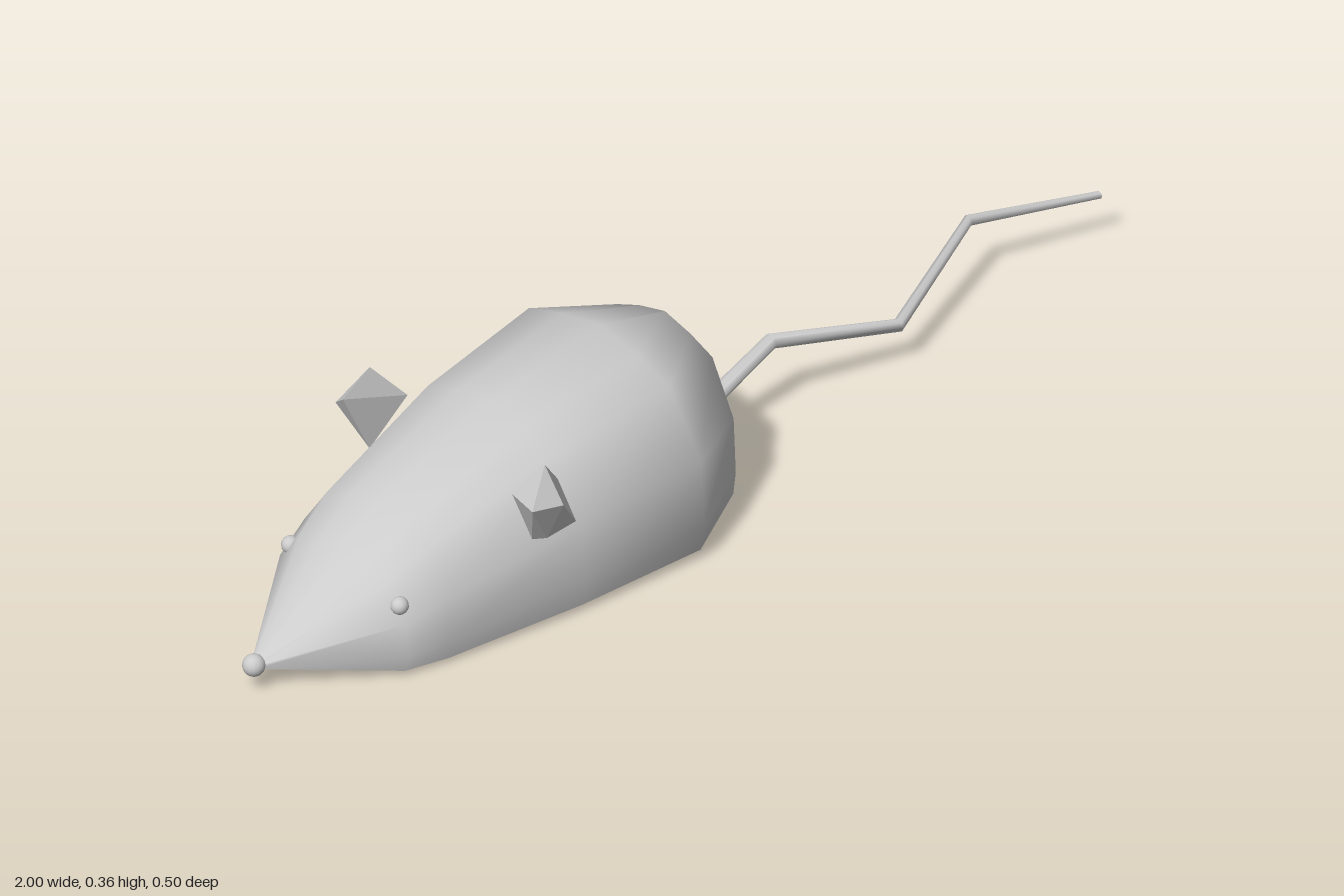
import * as THREE from 'three';
import { toCreasedNormals } from 'three/addons/utils/BufferGeometryUtils.js';
import { ConvexGeometry } from 'three/addons/geometries/ConvexGeometry.js';

const material = new THREE.MeshStandardMaterial({ color: 0xcccccc });

function addMesh(group, name, geometry) {
  const mesh = new THREE.Mesh(geometry, material);
  mesh.name = name;
  group.add(mesh);
  return mesh;
}

// Skin closed rings of [x, y, z] points (running top, +z, bottom, -z) set along x, with end caps.
function loft(rings, crease) {
  const n = rings[0].length;
  const last = rings.length - 1;
  const positions = rings.flat(2);
  const index = [];
  for (let i = 0; i < last; i++) {
    for (let j = 0; j < n; j++) {
      const k = (j + 1) % n;
      const a = i * n + j, b = i * n + k, c = a + n, d = b + n;
      index.push(a, b, c, b, d, c);
    }
  }
  for (let j = 1; j < n - 1; j++) {
    index.push(0, j + 1, j);
    index.push(last * n, last * n + j, last * n + j + 1);
  }
  const geometry = new THREE.BufferGeometry();
  geometry.setAttribute('position', new THREE.Float32BufferAttribute(positions, 3));
  geometry.setIndex(index);
  return toCreasedNormals(geometry, crease);
}

// Half cross-section of the body: fraction of half width, fraction of height
const halfSection = [[0, 1], [0.36, 0.945], [0.67, 0.87], [0.97, 0.54], [1, 0.19], [0.965, 0.04]];

function bodyRing([x, halfWidth, bottom, top]) {
  const point = ([w, h], side) => [x, bottom + h * (top - bottom), side * w * halfWidth];
  const left = halfSection.map((p) => point(p, 1));
  const right = halfSection.slice(1).reverse().map((p) => point(p, -1));
  return [...left, [x, bottom, 0], ...right];
}

function tailRing([x, y, z, r], sides = 8) {
  return Array.from({ length: sides }, (_, j) => {
    const a = (j / sides) * Math.PI * 2;
    return [x, y + r * Math.cos(a), z + r * Math.sin(a)];
  });
}

export function createModel() {
  const model = new THREE.Group();
  model.name = 'mouse';

  // Body from snout to rump: x, half width, bottom, top
  const bodySections = [
    [-0.975, 0.01, 0.043, 0.058],
    [-0.77, 0.155, 0.004, 0.19],
    [-0.69, 0.178, 0.001, 0.24],
    [-0.42, 0.226, 0.002, 0.325],
    [-0.165, 0.252, 0.006, 0.359],
    [-0.01, 0.17, 0.012, 0.315],
    [0.045, 0.025, 0.018, 0.2],
  ];
  addMesh(model, 'body', loft(bodySections.map(bodyRing), 0.95));

  // Nose
  addMesh(model, 'nose', new THREE.SphereGeometry(0.02, 16, 12)).position.set(-0.98, 0.05, 0);

  // Kinked, tapering tail: x, y, z, radius
  const tailPoints = [
    [0.02, 0.055, 0, 0.016],
    [0.24, 0.139, 0, 0.014],
    [0.49, 0.08, 0.052, 0.012],
    [0.755, 0.121, -0.05, 0.01],
    [1, 0.09, 0.015, 0.007],
  ];
  addMesh(model, 'tail', loft(tailPoints.map((p) => tailRing(p)), 1.1));

  // Ears lean forward and outward; eyes sit on the cheeks
  const earCorners = [
    [-0.5, 0.33, 0.21], [-0.57, 0.3, 0.203], [-0.555, 0.272, 0.236], [-0.495, 0.265, 0.25],
    [-0.44, 0.26, 0.18], [-0.515, 0.18, 0.195], [-0.5, 0.185, 0.215], [-0.45, 0.205, 0.234],
  ];
  for (const [side, label] of [[1, 'front'], [-1, 'back']]) {
    const corners = earCorners.map(([x, y, z]) => new THREE.Vector3(x, y, side * z));
    addMesh(model, label + 'SideEar', new ConvexGeometry(corners));
    addMesh(model, label + 'SideEye', new THREE.SphereGeometry(0.016, 14, 10))
      .position.set(-0.765, 0.132, side * 0.131);
  }

  return model;
}
